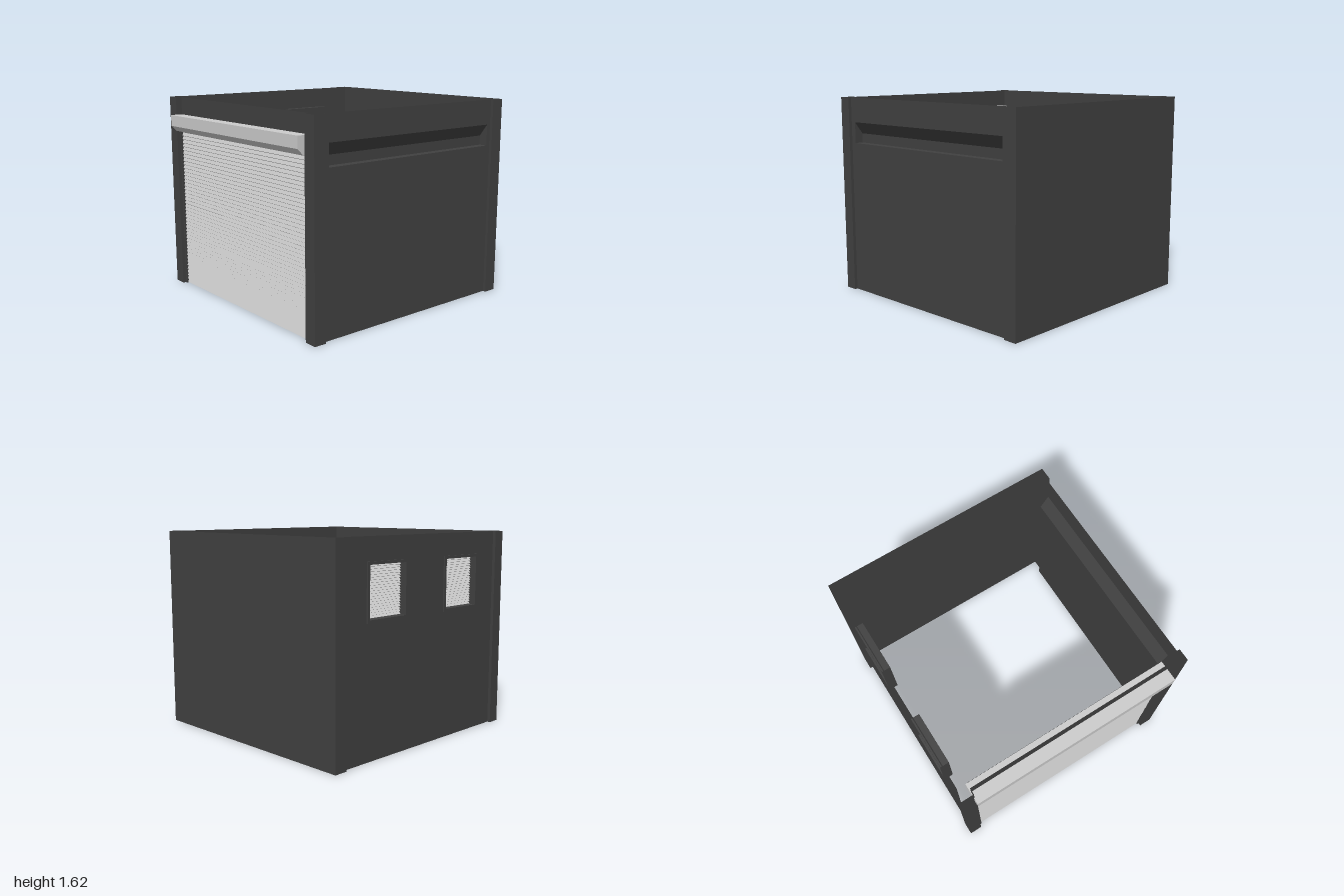
import * as THREE from 'three';

const H = 1.615;
const dark = new THREE.MeshStandardMaterial({ color: 0x404040, side: THREE.DoubleSide });
const grey = new THREE.MeshStandardMaterial({ color: 0xcccccc, side: THREE.DoubleSide });

// Sheet made by sweeping a 2D polyline along +z, with hard folds
function ribbon(pts, length) {
  const pos = [];
  for (let i = 0; i < pts.length - 1; i++) {
    const [a, b] = pts[i], [c, d] = pts[i + 1];
    pos.push(a, b, 0, c, d, 0, c, d, length, a, b, 0, c, d, length, a, b, length);
  }
  const g = new THREE.BufferGeometry();
  g.setAttribute('position', new THREE.Float32BufferAttribute(pos, 3));
  g.computeVertexNormals();
  return g;
}

// Rectangle as a point list, usable as shape or hole
const rect = (x0, y0, x1, y1) => [[x0, y0], [x1, y0], [x1, y1], [x0, y1]].map(p => new THREE.Vector2(...p));

function panelShape(outer, holes = []) {
  const s = new THREE.Shape(outer);
  holes.forEach(h => s.holes.push(new THREE.Path(h)));
  return s;
}

// Saw-tooth profile: each slat slopes outwards and down, then returns
function slatProfile(count, y0, y1, inner, outer) {
  const pts = [], step = (y1 - y0) / count;
  for (let i = 0; i < count; i++) {
    const y = y1 - i * step;
    pts.push([inner, y], [outer, y - step * 0.8]);
  }
  pts.push([inner, y0]);
  return pts;
}

export function createModel() {
  const root = new THREE.Group();
  const add = (name, geo, mat = dark, parent = root) => {
    const m = new THREE.Mesh(geo, mat);
    m.name = name;
    parent.add(m);
    return m;
  };
  // Upright sheet following a plan path of [x, z] points
  const upright = (name, plan) =>
    add(name, ribbon(plan.map(([x, z]) => [x, -z]), H).rotateX(-Math.PI / 2));
  // Sheet with a [z, y] profile, running along x
  const alongX = (pts, x0, x1) =>
    ribbon(pts.map(([z, y]) => [-z, y]), x1 - x0).rotateY(Math.PI / 2).translate(x0, 0, 0);

  // Plain side wall with its two corner pillars
  upright('sideWall', [[0.89, 0.95], [0.89, 0.975], [1, 0.975], [1, -0.975], [0.89, -0.975], [0.89, -0.95]]);

  // Pillars and guide rails on either side of the shutter
  for (const s of [1, -1]) {
    upright('shutterPillar', [[-0.85, 0.95], [-0.85, 0.975], [-0.95, 0.975], [-0.95, 0.87], [-0.9, 0.87]]
      .map(([x, z]) => [x, z * s]));
    add('guideRail', new THREE.BoxGeometry(0.03, 1.34, 0.02).translate(-0.91, 0.67, s * 0.86));
  }

  // Front wall with a long sloped recess
  const rx0 = -0.805, rx1 = 0.855;
  add('frontWall', new THREE.ShapeGeometry(
    panelShape(rect(-0.85, 0, 0.89, H), [rect(rx0, 1.245, rx1, 1.415)])).translate(0, 0, 0.95));
  const recess = [[0.95, 1.415], [0.88, 1.32], [0.88, 1.245], [0.95, 1.245]];
  add('frontRecess', alongX(recess, rx0, rx1));
  for (const x of [rx0, rx1]) {
    const cap = new THREE.Shape(recess.map(([z, y]) => new THREE.Vector2(-z, y)));
    add('recessEnd', new THREE.ShapeGeometry(cap).rotateY(Math.PI / 2).translate(x, 0, 0));
  }

  // Back wall with two louvred vents
  const wy0 = 1.01, wy1 = 1.44, rim = 0.022;
  const vents = [[-0.625, -0.195], [0.24, 0.67]];
  const openings = vents.map(([a, b]) => rect(a + rim, wy0 + rim, b - rim, wy1 - rim));
  add('backWall', new THREE.ShapeGeometry(panelShape(rect(-0.85, 0, 0.89, H), openings))
    .rotateY(Math.PI).scale(-1, 1, 1).translate(0, 0, -0.95));
  vents.forEach(([a, b], i) => {
    const vent = new THREE.Group();
    vent.name = 'vent';
    root.add(vent);
    add('ventFrame', new THREE.ExtrudeGeometry(panelShape(rect(a, wy0, b, wy1), [openings[i]]),
      { depth: 0.07, bevelEnabled: false }).translate(0, 0, -0.962), dark, vent);
    add('ventBackPlate', new THREE.PlaneGeometry(b - a, wy1 - wy0)
      .translate((a + b) / 2, (wy0 + wy1) / 2, -0.891), dark, vent);
    add('ventSlats', alongX(slatProfile(20, wy0 + rim, wy1 - rim, -0.896, -0.91), a + rim, b - rim), grey, vent);
  });

  // Shutter wall: dark backing with a ribbed curtain outside
  add('shutterBacking', new THREE.PlaneGeometry(1.74, H).rotateY(-Math.PI / 2).translate(-0.9, H / 2, 0));
  add('shutterCurtain', ribbon(slatProfile(44, 0, 1.35, -0.905, -0.915), 1.7).translate(0, 0, -0.85), grey);

  // Shutter housing with a chamfered outer lower edge
  const housing = [[-1, 1.47], [-1, 1.38], [-0.955, 1.335], [-0.83, 1.335], [-0.83, 1.47]];
  add('shutterHousing', new THREE.ExtrudeGeometry(
    new THREE.Shape(housing.map(p => new THREE.Vector2(...p))),
    { depth: 1.735, bevelEnabled: false }).translate(0, 0, -0.875), grey);
  add('housingInnerPanel', new THREE.PlaneGeometry(1.715, 0.125)
    .rotateY(Math.PI / 2).translate(-0.828, 1.405, -0.0075));

  return root;
}
